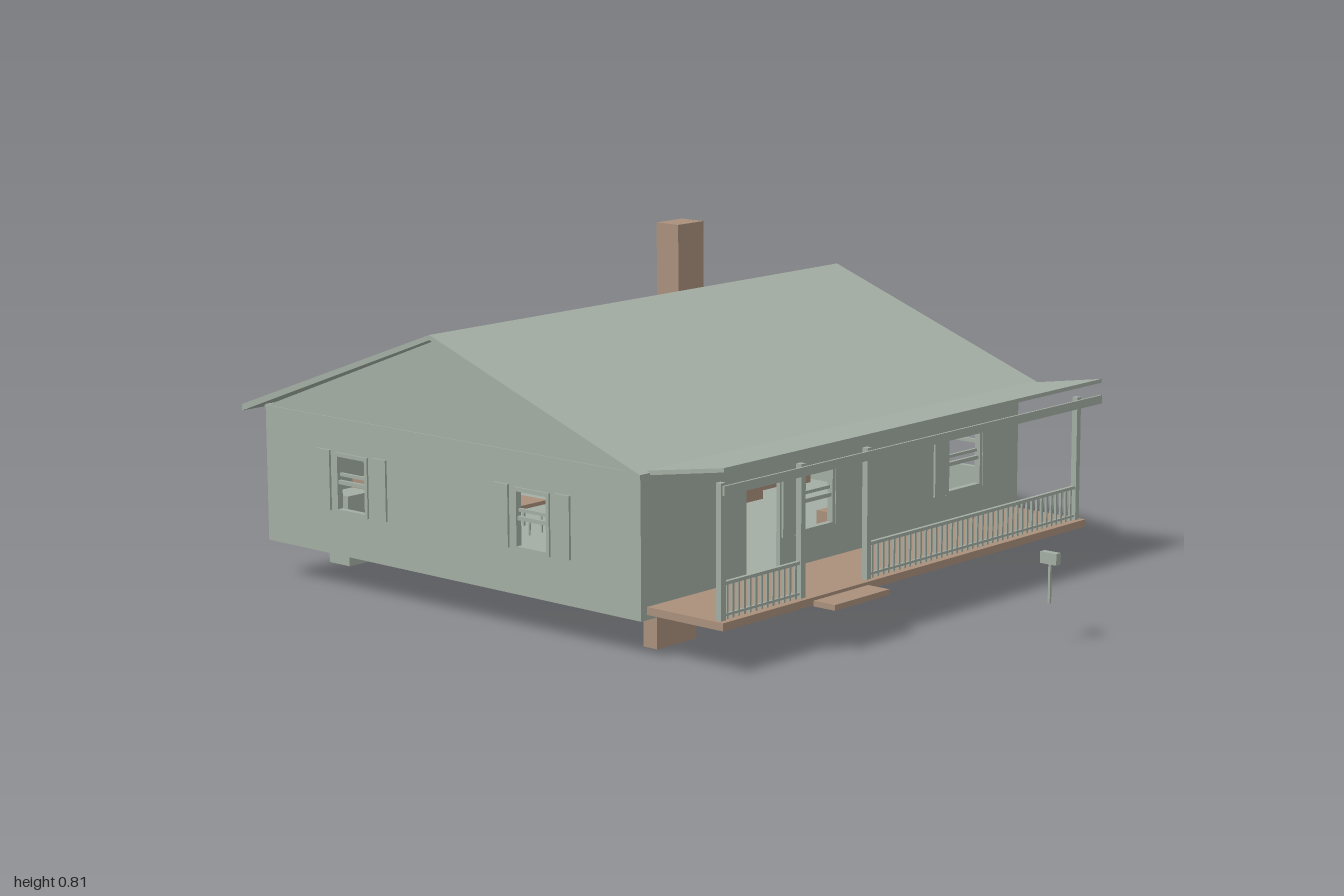
import * as THREE from 'three';

export function createModel() {
  const model = new THREE.Group();
  model.name = 'house';
  const grey = new THREE.MeshStandardMaterial({ color: 0xa3ada3 });
  grey.name = 'sage grey';
  const brown = new THREE.MeshStandardMaterial({ color: 0xa98f7b });
  brown.name = 'wood brown';

  const group = (name, parent = model) => {
    const g = new THREE.Group();
    g.name = name;
    parent.add(g);
    return g;
  };
  // Box given by its min and max on each axis
  const box = (name, mat, [x0, x1], [y0, y1], [z0, z1], parent = model) => {
    const m = new THREE.Mesh(new THREE.BoxGeometry(x1 - x0, y1 - y0, z1 - z0), mat);
    m.position.set((x0 + x1) / 2, (y0 + y1) / 2, (z0 + z1) / 2);
    m.name = name;
    parent.add(m);
    return m;
  };
  // Flat outline with rectangular holes [x0, x1, y0, y1], extruded
  const slab = (points, holes, depth) => {
    const s = new THREE.Shape(points.map(p => new THREE.Vector2(...p)));
    for (const [a, b, c, d] of holes) {
      s.holes.push(new THREE.Path([[a, c], [a, d], [b, d], [b, c]].map(p => new THREE.Vector2(...p))));
    }
    return new THREE.ExtrudeGeometry(s, { depth, bevelEnabled: false });
  };
  const add = (name, geo, mat) => {
    const m = new THREE.Mesh(geo, mat);
    m.name = name;
    model.add(m);
    return m;
  };
  // Outline drawn in z and y, running along x and ending at xEnd
  const alongX = (name, points, holes, depth, xEnd, mat) =>
    add(name, slab(points, holes, depth).rotateY(-Math.PI / 2).translate(xEnd, 0, 0), mat);

  const W = 0.735, BACK = -0.955, FRONT = 0.34, T = 0.012;
  const LOW = 0.21, HIGH = 0.365;
  const hole = (c, w) => [c - w / 2, c + w / 2, LOW, HIGH];

  // Outer walls with window and door openings
  const rect = [[-W, 0.1], [W, 0.1], [W, 0.455], [-W, 0.455]];
  add('frontWall', slab(rect, [[-0.36, -0.235, 0.13, 0.37], hole(-0.105, 0.13), hole(0.498, 0.13)], T)
    .translate(0, 0, FRONT - T), grey);
  add('backWall', slab(rect, [[0, 0.107, 0.11, 0.345], hole(-0.32, 0.12)], T).translate(0, 0, BACK), grey);
  const gable = [[BACK, 0.1], [FRONT, 0.1], [FRONT, 0.45], [-0.31, 0.697], [BACK, 0.45]];
  const rightWindows = [0.16, -0.437, -0.77], leftWindows = [-0.01, -0.637];
  alongX('rightWall', gable, [...rightWindows.map(z => hole(z, 0.118)), [-0.175, -0.105, 0.28, 0.355]], T, W, grey);
  alongX('leftWall', gable, leftWindows.map(z => hole(z, 0.118)), T, -W + T, grey);
  for (const s of [-1, 1]) {
    box('gableTrim', grey, s > 0 ? [W, W + 0.003] : [-W - 0.003, -W], [0.447, 0.453], [BACK, FRONT]);
  }
  box('floor', grey, [-W, W], [0.1, 0.108], [BACK, FRONT]);
  box('backDoor', grey, [0, 0.107], [0.11, 0.345], [BACK + 0.014, BACK + 0.022]);

  // Window: casing, sash bars and a pair of shutters, facing +z
  const addWindow = (name, x, z, turn, w, gap) => {
    const g = group(name);
    const h = w / 2, b = 0.01;
    for (const s of [-1, 1]) {
      const side = (a, c) => (s > 0 ? [a, c] : [-c, -a]);
      box('casingSide', grey, side(h - b, h), [LOW, HIGH], [-T, 0.005], g);
      box('shutter', grey, side(h + gap, h + gap + 0.049), [LOW + 0.003, HIGH + 0.003], [0, 0.006], g);
    }
    for (const y of [LOW, HIGH - b]) box('casingBar', grey, [-h, h], [y, y + b], [-T, 0.005], g);
    box('meetingRail', grey, [-h, h], [0.284, 0.294], [-0.008, 0.001], g);
    box('sashBar', grey, [-h, h], [0.304, 0.312], [-0.012, -0.004], g);
    g.position.set(x, 0, z);
    g.rotation.y = turn;
  };
  addWindow('frontWindow', -0.105, FRONT, 0, 0.15, 0.001);
  addWindow('frontWindow', 0.498, FRONT, 0, 0.15, 0.001);
  addWindow('backWindow', -0.32, BACK, Math.PI, 0.12, 0.018);
  for (const z of rightWindows) addWindow('rightWindow', W, z, Math.PI / 2, 0.118, 0.018);
  for (const z of leftWindows) addWindow('leftWindow', -W, z, -Math.PI / 2, 0.118, 0.018);
  box('smallWindow', grey, [W - 0.008, W + 0.003], [0.28, 0.355], [-0.175, -0.105]);

  // Main roof, porch roof and chimney
  alongX('mainRoof', [[0.375, 0.46], [-0.31, 0.71], [-1, 0.455], [-1, 0.438], [-0.31, 0.697], [0.375, 0.447]],
    [], 1.55, 0.775, grey);
  alongX('porchRoof', [[0.36, 0.463], [0.36, 0.452], [0.6, 0.492], [0.6, 0.502]], [], 1.48, 0.74, grey);
  box('porchFascia', grey, [-0.74, 0.74], [0.438, 0.46], [0.596, 0.602]);
  box('chimney', brown, [0.525, 0.63], [0.53, 0.81], [-0.75, -0.67]);

  // Porch deck, step, posts and railings
  box('porchDeck', brown, [-0.715, 0.715], [0.113, 0.132], [FRONT, 0.575]);
  box('porchStep', brown, [-0.39, -0.185], [0.11, 0.124], [0.575, 0.64]);
  const posts = [-0.697, -0.412, -0.165, 0.697];
  for (const x of posts) box('porchPost', grey, [x - 0.008, x + 0.008], [0.132, 0.455], [0.545, 0.561]);
  for (const [a, b] of [[posts[0], posts[1]], [posts[2], posts[3]]]) {
    const g = group('railing');
    box('topRail', grey, [a, b], [0.214, 0.222], [0.548, 0.558], g);
    box('bottomRail', grey, [a, b], [0.14, 0.146], [0.549, 0.557], g);
    const n = Math.round((b - a) / 0.021);
    for (let i = 1; i < n; i++) {
      const x = a + (b - a) * i / n;
      box('baluster', grey, [x - 0.003, x + 0.003], [0.132, 0.216], [0.55, 0.556], g);
    }
  }

  // Mailbox
  const mail = group('mailbox');
  box('mailboxBody', grey, [-0.009, 0.009], [0.206, 0.234], [0.953, 1], mail);
  box('mailboxPost', grey, [-0.003, 0.003], [0.11, 0.206], [0.973, 0.979], mail);

  // Furniture standing through the floor: x, y and z ranges
  const pieces = [
    ['headboard', brown, [-0.645, -0.505], [0.01, 0.16], [0.265, 0.308]],
    ['lowBench', brown, [-0.705, -0.65], [0.09, 0.14], [0.1, 0.25]],
    ['kitchenCounter', brown, [-0.46, -0.02], [0.07, 0.22], [-0.935, -0.87]],
    ['stove', grey, [-0.56, -0.475], [0.015, 0.2], [-0.92, -0.845]],
    ['bookcase', brown, [0.305, 0.44], [0.003, 0.2], [-0.365, -0.29]],
    ['sideboard', brown, [0.29, 0.455], [0.01, 0.18], [-0.66, -0.62]],
    ['wardrobe', brown, [0.62, 0.7], [0.035, 0.2], [-0.78, -0.745]],
    ['nightstand', brown, [0.59, 0.65], [0.07, 0.15], [-0.6, -0.55]],
    ['chest', brown, [0.28, 0.38], [0.07, 0.15], [0.03, 0.085]],
    ['smallStool', brown, [0.64, 0.69], [0.08, 0.14], [-0.37, -0.33]],
    ['smallStool', brown, [0.65, 0.7], [0.08, 0.14], [0, 0.04]],
    ['bedBase', brown, [0.46, 0.7], [0.095, 0.15], [-0.53, -0.36]],
    ['bedBase', brown, [0.42, 0.67], [0.095, 0.15], [0.1, 0.28]],
    ['sideTable', brown, [-0.51, -0.41], [0.092, 0.14], [-0.12, -0.05]],
    ['tableTop', brown, [-0.4, -0.22], [0.18, 0.19], [-0.6, -0.46]],
  ];
  const furniture = group('furniture');
  for (const [name, mat, x, y, z] of pieces) box(name, mat, x, y, z, furniture);

  // Rectangular rims of the bathtub and the low table
  for (const [name, x, z, w, d] of [['bathtubRim', 0.62, -0.155, 0.1, 0.2], ['lowTableRim', -0.33, 0.09, 0.2, 0.13]]) {
    const outer = [[-w / 2, -d / 2], [w / 2, -d / 2], [w / 2, d / 2], [-w / 2, d / 2]];
    const inner = [-w / 2 + 0.012, w / 2 - 0.012, -d / 2 + 0.012, d / 2 - 0.012];
    add(name, slab(outer, [inner], 0.012).rotateX(-Math.PI / 2).translate(x, 0.09, z), grey);
  }

  // Thin legs of the dining chairs and the pedestal table
  for (const cx of [-0.4, -0.31, -0.22]) {
    for (const cz of [-0.59, -0.48]) {
      for (const [dx, dz] of [[-1, -1], [1, -1], [-1, 1], [1, 1]]) {
        const x = cx + dx * 0.022, z = cz + dz * 0.022;
        box('chairLeg', grey, [x - 0.002, x + 0.002], [0.065, 0.14], [z - 0.002, z + 0.002], furniture);
      }
    }
  }
  for (const [x, z] of [[-0.36, -0.55], [-0.215, -0.55], [-0.315, -0.07]]) {
    box('tableLeg', grey, [x - 0.003, x + 0.003], [0.035, 0.18], [z - 0.003, z + 0.003], furniture);
  }
  box('pedestalFoot', grey, [-0.335, -0.295], [0.035, 0.039], [-0.085, -0.055], furniture);
  return model;
}
